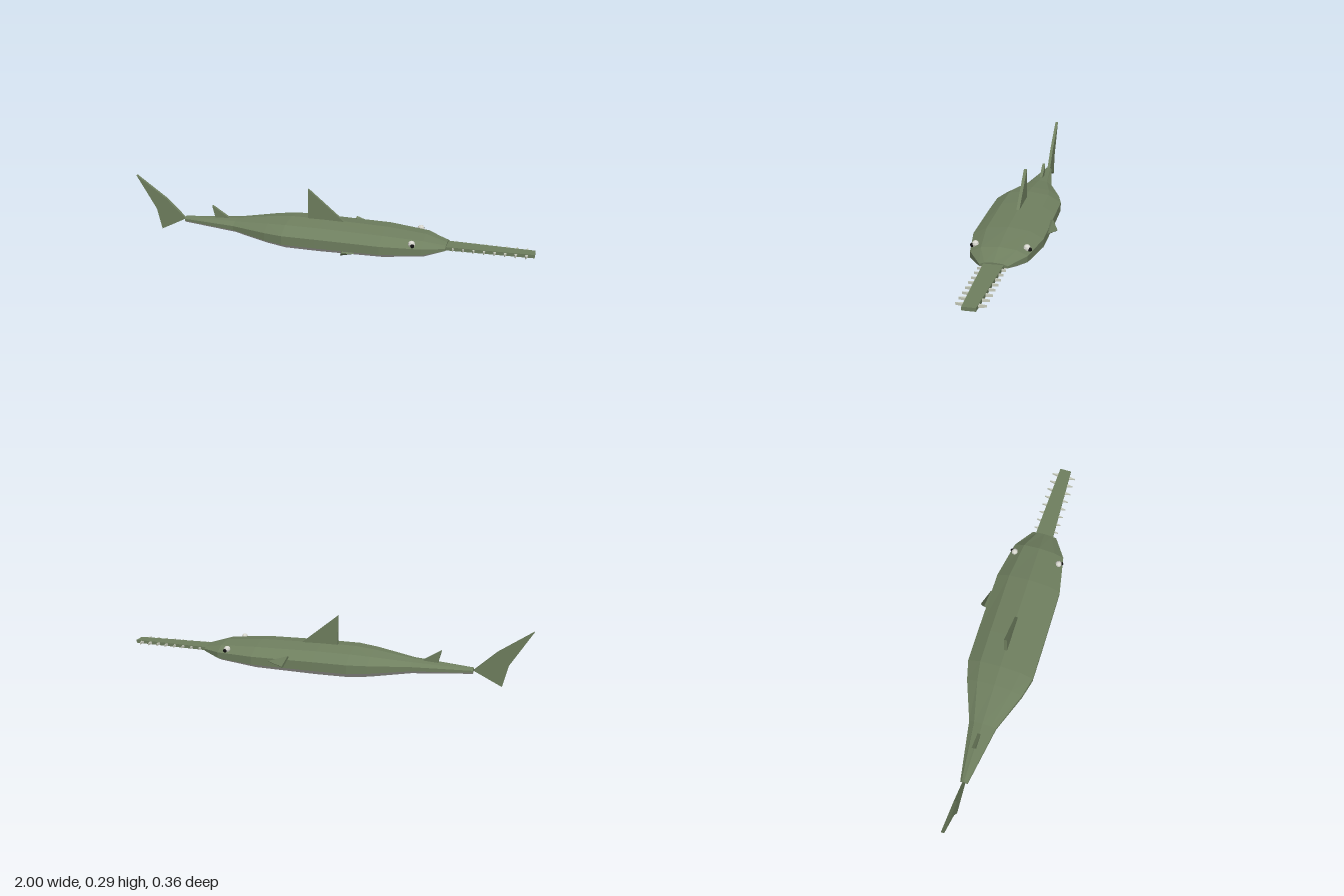
import * as THREE from 'three';

const CY = 0.0745, CZ = 0.017, SIDES = 10;

const mat = (name, color) => {
  const m = new THREE.MeshStandardMaterial({ color });
  m.name = name;
  return m;
};

// Triangles with their own corners, so every face is flat
function facets(points) {
  const g = new THREE.BufferGeometry();
  g.setAttribute('position', new THREE.Float32BufferAttribute(points.flat(), 3));
  g.computeVertexNormals();
  return g;
}

// Body rings: x, half height, half depth
const rings = [
  [-0.735, 0.015, 0.019], [-0.45, 0.034, 0.07], [-0.26, 0.061, 0.146],
  [-0.165, 0.07, 0.172], [0, 0.071, 0.173], [0.31, 0.064, 0.172],
  [0.5, 0.047, 0.135], [0.6, 0.016, 0.066],
];

function ringPoint([x, ry, rz], i) {
  const a = (i / SIDES) * Math.PI * 2;
  return [x, CY + ry * Math.cos(a), CZ + rz * Math.sin(a)];
}

// Strip of hull between two ring corners, counted from the top, with its share of the end caps
function hull(from, to) {
  const p = [], tail = rings[0], nose = rings[rings.length - 1];
  for (let i = from; i < to; i++) {
    for (let s = 0; s < rings.length - 1; s++) {
      const a = ringPoint(rings[s], i), b = ringPoint(rings[s], i + 1);
      const c = ringPoint(rings[s + 1], i + 1), d = ringPoint(rings[s + 1], i);
      p.push(a, b, c, a, c, d);
    }
    p.push([nose[0], CY, CZ], ringPoint(nose, i), ringPoint(nose, i + 1));
    p.push([tail[0], CY, CZ], ringPoint(tail, i + 1), ringPoint(tail, i));
  }
  return facets(p);
}

function extrude(outline, depth) {
  const shape = new THREE.Shape(outline.map(([x, y]) => new THREE.Vector2(x, y)));
  return new THREE.ExtrudeGeometry(shape, { depth, bevelEnabled: false });
}

// Upright plate on the centre line
const finPlate = (outline) => extrude(outline, 0.015).translate(0, 0, CZ - 0.0075);

// Level plate from an x, z outline
const levelPlate = (outline, depth) =>
  extrude(outline, depth).rotateX(Math.PI / 2).translate(0, CY + depth / 2, 0);

// Triangular plate of some thickness through three points
function triPlate(a, b, c, thickness) {
  const [A, B, C] = [a, b, c].map((v) => new THREE.Vector3(...v));
  const n = B.clone().sub(A).cross(C.clone().sub(A)).setLength(thickness / 2);
  const up = [A, B, C].map((v) => v.clone().add(n).toArray());
  const dn = [A, B, C].map((v) => v.clone().sub(n).toArray());
  const p = [up[0], up[1], up[2], dn[0], dn[2], dn[1]];
  for (let i = 0; i < 3; i++) {
    const j = (i + 1) % 3;
    p.push(dn[i], dn[j], up[j], dn[i], up[j], up[i]);
  }
  return facets(p);
}

// Faceted ball
function ball(radius) {
  const g = new THREE.SphereGeometry(radius, 8, 6).toNonIndexed();
  g.computeVertexNormals();
  return g;
}

export function createModel() {
  const green = mat('skin green', 0x6f7f5f);
  const cream = mat('belly pale grey', 0xd9d7d0);
  const ivory = mat('tooth ivory', 0xc8ccbc);
  const white = mat('eye white', 0xd8d8d0);
  const black = mat('pupil black', 0x101010);

  const model = new THREE.Group();
  model.name = 'sawfish';
  const add = (name, geometry, material) => {
    const mesh = new THREE.Mesh(geometry, material);
    mesh.name = name;
    model.add(mesh);
    return mesh;
  };

  // Body
  add('back', hull(-3, 3), green);
  add('belly', hull(3, 7), cream);

  // Fins on the centre line
  add('dorsalFin', finPlate([[-0.08, 0.1], [0.12, 0.125], [0.1, 0.143], [-0.08, 0.29]]), green);
  add('rearDorsalFin', finPlate([[-0.565, 0.08], [-0.5, 0.085], [-0.5, 0.107], [-0.585, 0.16]]), green);
  add('tailFin', finPlate([[-0.735, 0.077], [-0.84, 0.175], [-1, 0.285], [-0.895, 0.115], [-0.87, 0.01]]), green);

  // Side fins
  add('rightSideFin', triPlate([0.22, 0.08, -0.147], [0.118, 0.114, -0.15], [0.14, 0.067, -0.177], 0.013), green);
  add('leftSideFin', triPlate([0.19, 0.047, 0.167], [0.12, 0.026, 0.152], [0.13, 0.044, 0.171], 0.012), green);

  // Saw
  add('saw', levelPlate([[0.58, CZ - 0.046], [1, CZ - 0.029], [1, CZ + 0.029], [0.58, CZ + 0.046]], 0.016), green);

  // Teeth along both edges of the saw
  for (const side of [-1, 1]) {
    for (let i = 0; i < 8; i++) {
      const x = 0.633 + i * 0.0472;
      const tooth = levelPlate([
        [x - 0.008, CZ + side * 0.026],
        [x + 0.008, CZ + side * 0.026],
        [x, CZ + side * 0.063],
      ], 0.011);
      add('tooth', tooth, ivory);
    }
  }

  // Eyes
  for (const side of [-1, 1]) {
    add('eye', ball(0.0165), white).position.set(0.453, 0.106, CZ + side * 0.116);
    add('pupil', ball(0.0095), black).position.set(0.459, 0.102, CZ + side * 0.13);
  }
  return model;
}
